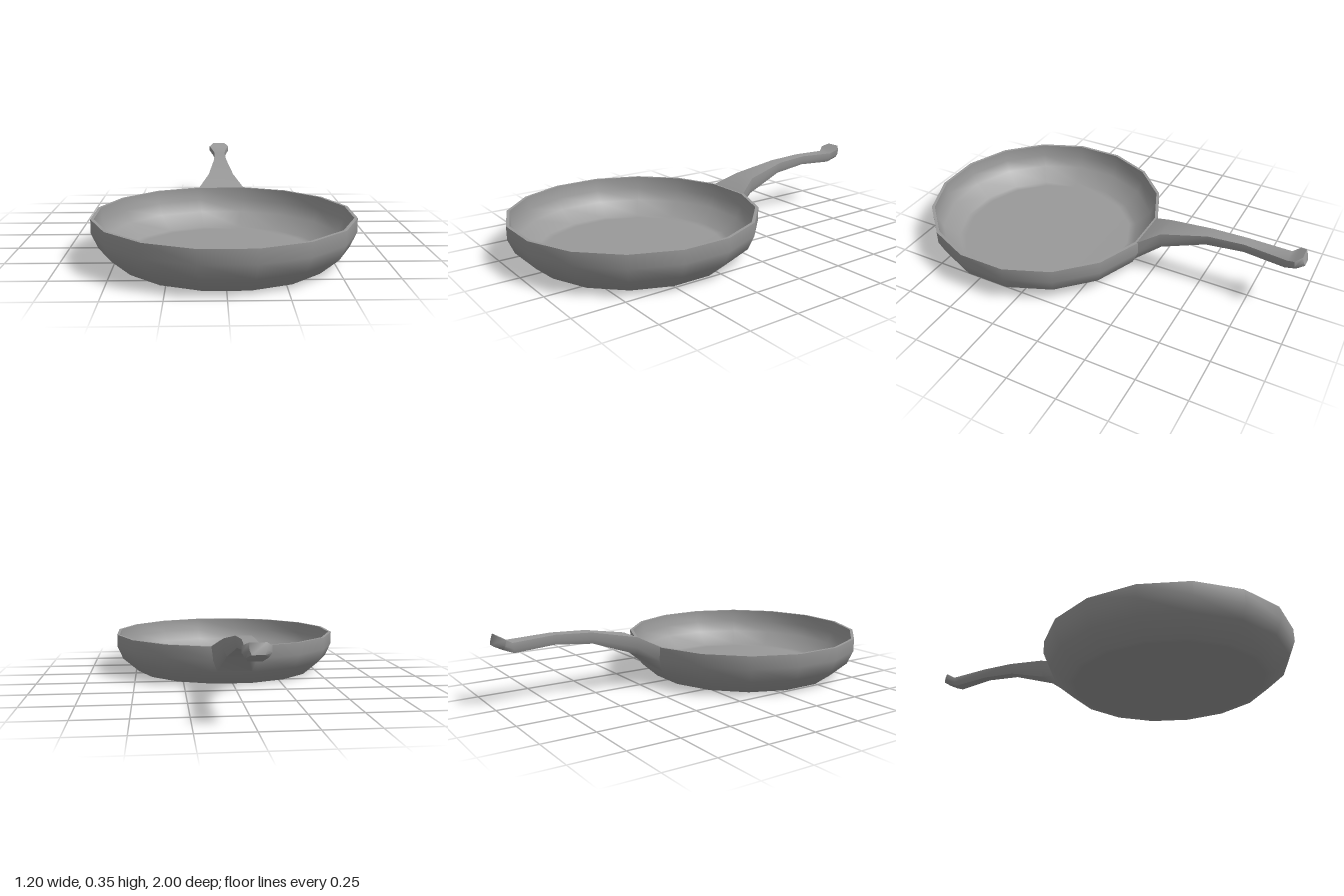
import * as THREE from 'three';
import { toCreasedNormals } from 'three/addons/utils/BufferGeometryUtils.js';

const SIDES = 16;
const PAN_Z = 0.4;
const metal = new THREE.MeshStandardMaterial({ color: 0x999999 });
metal.name = 'grey metal';

// One turned surface of the pan; profile radii are measured to the flats
function turned(name, profile) {
  const k = 1 / Math.cos(Math.PI / SIDES);
  const points = profile.map(([r, y]) => new THREE.Vector2(r * k, y));
  const geometry = new THREE.LatheGeometry(points, SIDES);
  geometry.rotateY(Math.PI / SIDES);
  const mesh = new THREE.Mesh(geometry, metal);
  mesh.name = name;
  mesh.position.z = PAN_Z;
  return mesh;
}

// Handle lofted through sections: [top z, top y, bottom z, bottom y, half width]
function handleGeometry(sections) {
  const rings = sections.map(([zt, yt, zb, yb, w]) => {
    const at = (x, t) => [x * w, yb + (yt - yb) * t, zb + (zt - zb) * t];
    return [at(0.75, 0), at(1, 0.4), at(1, 1), at(-1, 1), at(-1, 0.4), at(-0.75, 0)];
  });
  const n = rings[0].length;
  const positions = rings.flat(2);
  const index = [];
  for (let i = 0; i < rings.length - 1; i++) {
    for (let j = 0; j < n; j++) {
      const a = i * n + j, b = i * n + (j + 1) % n;
      index.push(a, a + n, b + n, a, b + n, b);
    }
  }
  // Tip cap
  const e = (rings.length - 1) * n;
  for (let j = 1; j < n - 1; j++) index.push(e, e + j + 1, e + j);
  const geometry = new THREE.BufferGeometry();
  geometry.setAttribute('position', new THREE.Float32BufferAttribute(positions, 3));
  geometry.setIndex(index);
  return toCreasedNormals(geometry, Math.PI / 3.2);
}

export function createModel() {
  const model = new THREE.Group();
  model.name = 'fryingPan';

  // Pan body: outside, rim and inside
  model.add(
    turned('outerWall', [[0, 0], [0.455, 0], [0.485, 0], [0.57, 0.075], [0.6, 0.145], [0.6, 0.21]]),
    turned('rim', [[0.6, 0.21], [0.585, 0.21]]),
    turned('innerWall', [[0.585, 0.21], [0.583, 0.145], [0.555, 0.085], [0.478, 0.018], [0.44, 0.015], [0, 0.015]]),
  );

  // Handle: flared root, slim grip, knobbed tip
  const handle = new THREE.Mesh(handleGeometry([
    [-0.195, 0.21, -0.165, 0.075, 0.12],
    [-0.3, 0.265, -0.3, 0.177, 0.068],
    [-0.53, 0.31, -0.52, 0.253, 0.036],
    [-0.71, 0.32, -0.71, 0.272, 0.03],
    [-0.92, 0.31, -0.91, 0.26, 0.04],
    [-0.955, 0.33, -0.965, 0.284, 0.06],
    [-0.985, 0.347, -1.0, 0.3, 0.035],
  ]), metal);
  handle.name = 'handle';
  model.add(handle);

  return model;
}
